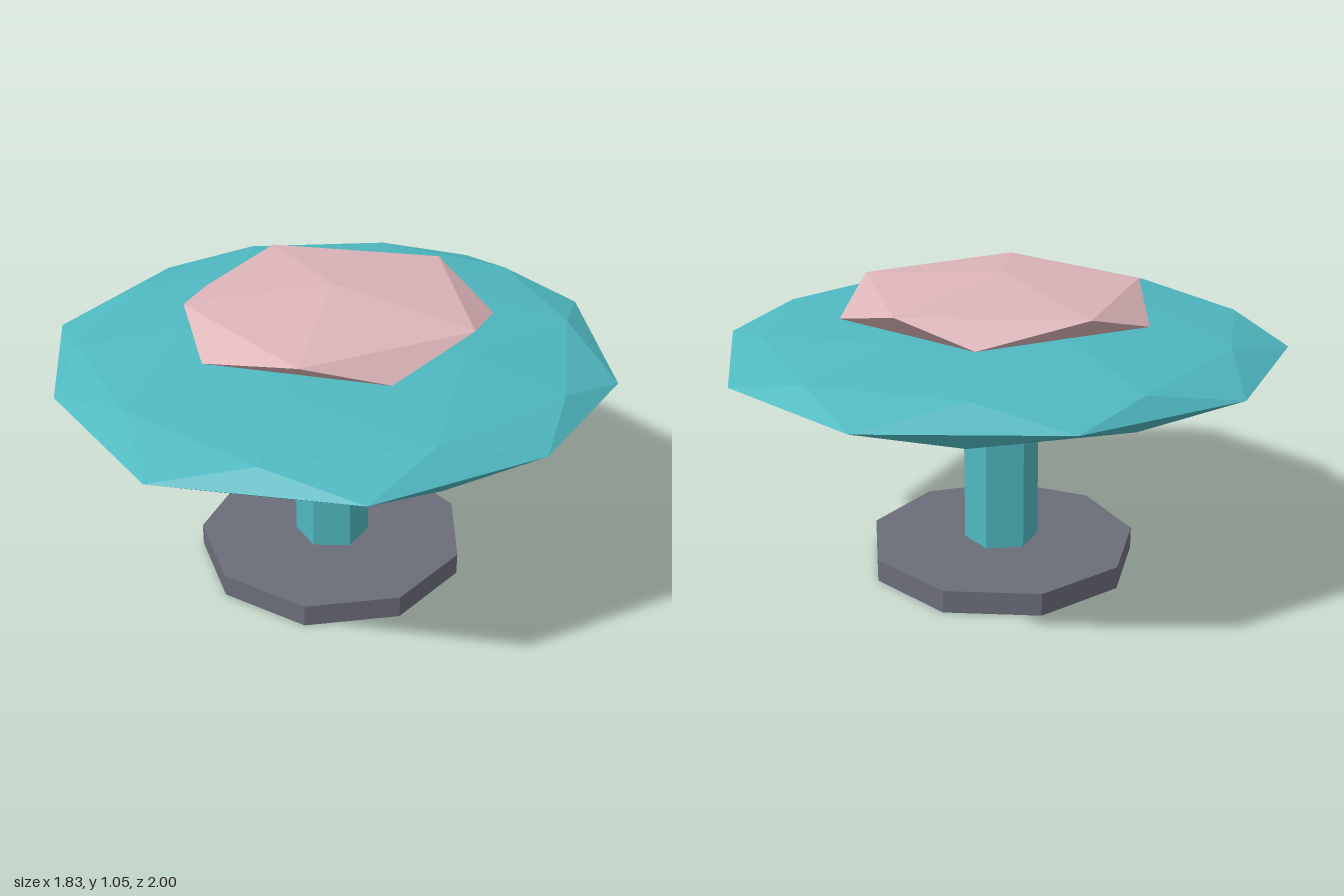
import * as THREE from 'three';

const STEP = Math.PI / 5;

// Icosahedron standing on a pole, with an upper ring vertex on +x.
function poleIcosahedron(detail) {
  const verts = [0, 1, 0, 0, -1, 0];
  const faces = [];
  const y = 1 / Math.sqrt(5), r = 2 / Math.sqrt(5);
  for (let k = 0; k < 10; k++) {
    verts.push(r * Math.cos(k * STEP), k % 2 ? -y : y, r * Math.sin(k * STEP));
  }
  for (let k = 0; k < 10; k++) {
    const a = 2 + k, b = 2 + (k + 1) % 10, c = 2 + (k + 2) % 10;
    if (k % 2 === 0) faces.push(0, c, a, a, c, b);
    else faces.push(1, a, c, a, b, c);
  }
  return new THREE.PolyhedronGeometry(verts, faces, 1, detail);
}

// Flattens the solid and fits its widest ring to a hand-cut ten-point outline.
function facetedDisc(detail, size, ringHeight, angleOffset, outline) {
  const geo = poleIcosahedron(detail);
  const p = geo.attributes.position;
  for (let i = 0; i < p.count; i++) {
    const x = p.getX(i), y = p.getY(i), z = p.getZ(i);
    let px = x * size[0], pz = z * size[2];
    if (Math.abs(Math.abs(y) - ringHeight) < 0.02) {
      const k = Math.round((Math.atan2(z, x) - angleOffset) / STEP);
      [px, pz] = outline[(k + 10) % 10];
    }
    p.setXYZ(i, px, y * size[1], pz);
  }
  geo.computeVertexNormals();
  return geo;
}

export function createModel() {
  const model = new THREE.Group();
  model.name = 'pedestalMushroom';

  const material = (name, color) => {
    const m = new THREE.MeshStandardMaterial({ color, flatShading: true });
    m.name = name;
    return m;
  };
  const teal = material('teal', 0x4fb8c0);
  const pink = material('dustyPink', 0xdcb4b8);
  const grey = material('slateGrey', 0x6b6d7a);

  const add = (name, geo, mat, y) => {
    const mesh = new THREE.Mesh(geo, mat);
    mesh.name = name;
    mesh.position.y = y;
    model.add(mesh);
    return mesh;
  };

  // Nine-sided foot with one corner at the back
  add('base', new THREE.CylinderGeometry(0.48, 0.48, 0.08, 9), grey, 0.04).rotation.y = Math.PI;

  // Six-sided stem, running up into the cap
  add('stem', new THREE.CylinderGeometry(0.132, 0.132, 0.67, 6), teal, 0.415);

  // Broad faceted cap
  const capOutline = [
    [0.9, 0.27], [0.58, 0.77], [-0.015, 1], [-0.575, 0.75], [-0.917, 0.33],
    [-0.917, -0.28], [-0.565, -0.755], [0.02, -1], [0.56, -0.8], [0.917, -0.27],
  ];
  add('cap', facetedDisc(1, [0.94, 0.13, 0.98], 0, STEP / 2, capOutline), teal, 0.812);

  // Small crown resting on the cap
  const crownOutline = [
    [0.52, -0.01], [0.4, 0.31], [0.18, 0.495], [-0.18, 0.49], [-0.39, 0.3],
    [-0.53, -0.01], [-0.43, -0.29], [-0.13, -0.49], [0.14, -0.505], [0.44, -0.33],
  ];
  add('crown', facetedDisc(0, [0.59, 0.09, 0.55], 1 / Math.sqrt(5), 0, crownOutline), pink, 0.965);

  return model;
}
